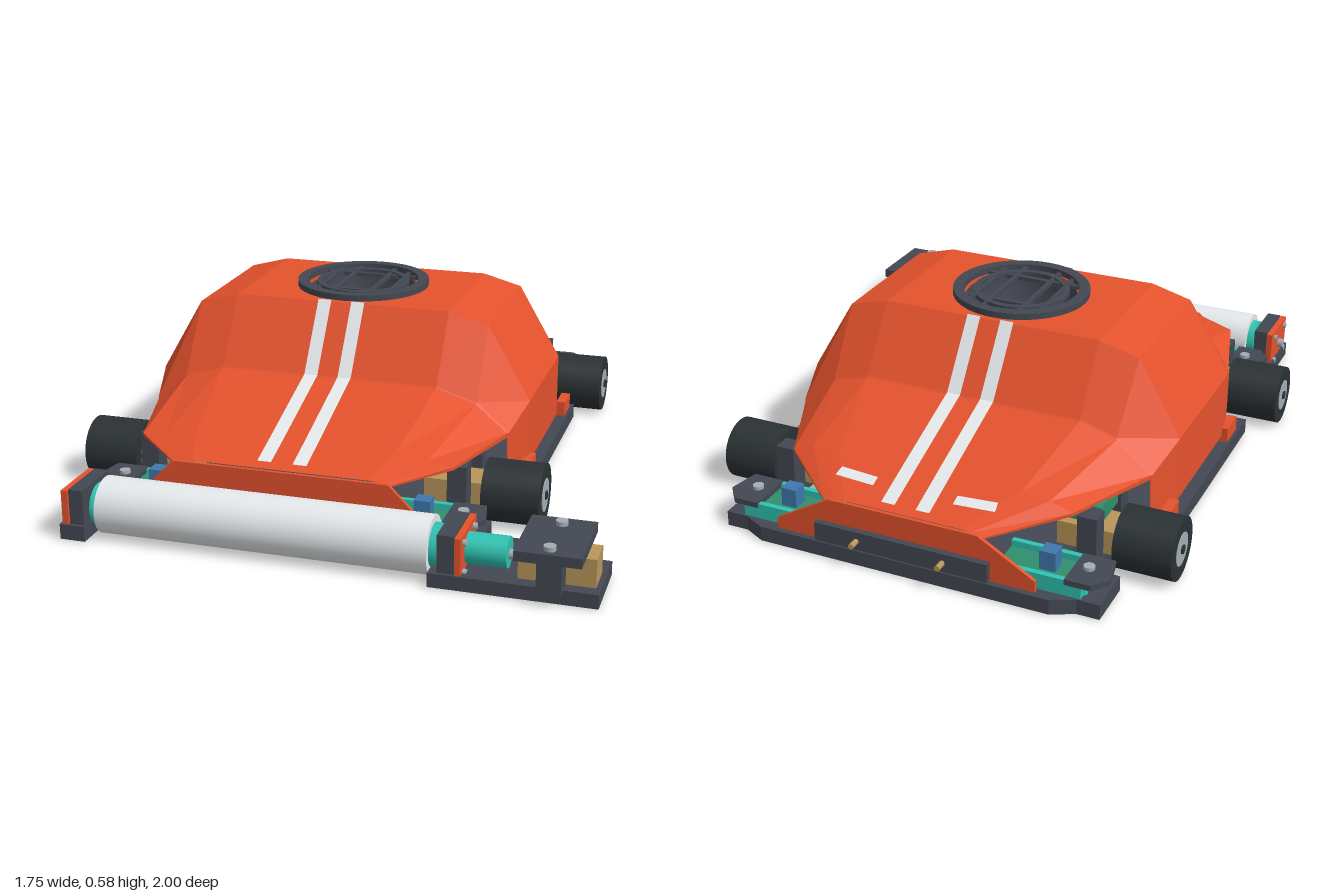
import * as THREE from 'three';

const ORANGE = 0xe5522d, DARK = 0x434852, TYRE = 0x2b3134, TEAL = 0x2fc4b2, GREEN = 0x2f8f6c;
const TAN = 0xb8965a, WHITE = 0xe6eaec, GREY = 0xa4adb4, BLUE = 0x3f78ad;

const mats = {};
function mat(color, open = false) {
  const key = color + (open ? 'open' : '');
  return mats[key] ??= new THREE.MeshStandardMaterial({
    color, flatShading: open, side: open ? THREE.DoubleSide : THREE.FrontSide });
}
function add(parent, name, geo, color, open) {
  const m = new THREE.Mesh(geo, mat(color, open));
  m.name = name;
  parent.add(m);
  return m;
}
// Box given by its limits on each axis
function box(parent, name, x0, x1, y0, y1, z0, z1, color) {
  const g = new THREE.BoxGeometry(Math.abs(x1 - x0), y1 - y0, z1 - z0);
  g.translate((x0 + x1) / 2, (y0 + y1) / 2, (z0 + z1) / 2);
  return add(parent, name, g, color);
}
// Cylinder along x or y
function rod(parent, name, r, len, x, y, z, color, axis = 'x', n = 32) {
  const g = new THREE.CylinderGeometry(r, r, len, n);
  if (axis === 'x') g.rotateZ(Math.PI / 2);
  if (axis === 'z') g.rotateX(Math.PI / 2);
  g.translate(x, y, z);
  return add(parent, name, g, color);
}
function circleHole(x, y, r) {
  return new THREE.Path().absarc(x, y, r, 0, Math.PI * 2, true);
}
// Flat plate from an (x, z) outline, between y0 and y0 + h
function plate(shape, y0, h) {
  const g = new THREE.ExtrudeGeometry(shape, { depth: h, bevelEnabled: false, curveSegments: 32 });
  return g.rotateX(Math.PI / 2).translate(0, y0 + h, 0);
}
function mirrored(half) {
  const left = half.map(([x, y]) => [-x, y]).reverse();
  return new THREE.Shape([...half, ...left].map(([x, y]) => new THREE.Vector2(x, y)));
}
// Triangles from a list of four-cornered faces
function quads(list) {
  const pos = [];
  for (const [a, b, c, d] of list) pos.push(...a, ...b, ...c, ...a, ...c, ...d);
  const g = new THREE.BufferGeometry();
  g.setAttribute('position', new THREE.Float32BufferAttribute(pos, 3));
  g.computeVertexNormals();
  return g;
}

const FAN_Z = -0.09;

function buildShell(body) {
  // Half cross-sections: ridge, shoulder, eave, lower edge
  const sections = [
    [0.755, [0.28, 0.21], [0.31, 0.206], [0.34, 0.2], [0.34, 0.195]],
    [0.62, [0.32, 0.25], [0.42, 0.237], [0.5, 0.225], [0.5, 0.215]],
    [0.30, [0.36, 0.35], [0.49, 0.31], [0.59, 0.225], [0.59, 0.21]],
    [0.295, [0.36, 0.355], [0.49, 0.315], [0.595, 0.225], [0.595, 0.07]],
    [0.15, [0.36, 0.56], [0.49, 0.525], [0.63, 0.285], [0.63, 0.07]],
    [-0.33, [0.36, 0.56], [0.49, 0.525], [0.63, 0.285], [0.63, 0.07]],
    [-0.475, [0.36, 0.36], [0.48, 0.325], [0.595, 0.225], [0.595, 0.07]],
    [-0.48, [0.36, 0.355], [0.48, 0.32], [0.59, 0.225], [0.59, 0.21]],
    [-0.77, [0.3, 0.255], [0.39, 0.245], [0.46, 0.222], [0.46, 0.212]],
    [-0.94, [0.19, 0.195], [0.22, 0.192], [0.26, 0.185], [0.26, 0.18]],
  ];
  const faces = [];
  for (let i = 0; i < sections.length - 1; i++) {
    const [za, ...a] = sections[i], [zb, ...b] = sections[i + 1];
    if (i !== 4) faces.push([[-a[0][0], a[0][1], za], [a[0][0], a[0][1], za], [b[0][0], b[0][1], zb], [-b[0][0], b[0][1], zb]]);
    for (let k = 0; k < 3; k++) {
      const q = [[...a[k], za], [...a[k + 1], za], [...b[k + 1], zb], [...b[k], zb]];
      faces.push(q, q.map(([x, y, z]) => [-x, y, z]).reverse());
    }
  }
  add(body, 'shell', quads(faces), ORANGE, true);
  // Roof panel with the fan opening
  const roof = mirrored([[0.36, -0.33], [0.36, 0.15]]);
  roof.holes.push(circleHole(0, FAN_Z, 0.18));
  add(body, 'roof', plate(roof, 0.55, 0.01), ORANGE);
  // End skirts
  const skirt = (name, top, bottom, y, z) => {
    const g = new THREE.ExtrudeGeometry(mirrored([[bottom, 0.05], [bottom, 0.085], [top, y]]), { depth: 0.012, bevelEnabled: false });
    add(body, name, g.translate(0, 0, z), ORANGE);
  };
  skirt('frontSkirt', 0.34, 0.46, 0.205, 0.75);
  skirt('backSkirt', 0.24, 0.42, 0.19, -0.947);
  // Wrapped stripes over both slopes
  const paths = [[[0.73, 0.219], [0.62, 0.252], [0.30, 0.352], [0.15, 0.562]],
    [[-0.33, 0.562], [-0.48, 0.358], [-0.77, 0.258], [-0.92, 0.205]]];
  for (const path of paths) for (const x of [-0.056, 0.056]) {
    const f = path.slice(1).map(([z, y], i) => {
      const [z0, y0] = path[i], w = 0.022, up = 0.004;
      return [[x - w, y0 + up, z0], [x + w, y0 + up, z0], [x + w, y + up, z], [x - w, y + up, z]];
    });
    add(body, 'stripe', quads(f), WHITE, true);
  }
  for (const s of [-1, 1]) {
    const y = (z) => 0.262 + (z + 0.77) * 0.353;
    const corners = [[0.13, -0.872], [0.26, -0.865], [0.255, -0.832], [0.13, -0.84]];
    add(body, 'rearMark', quads([corners.map(([x, z]) => [s * x, y(z), z])]), WHITE, true);
    for (const z of [0.175, -0.425]) box(body, 'shellTab', s * 0.62, s * 0.65, 0.05, 0.1, z - 0.05, z + 0.05, ORANGE);
    box(body, 'sill', s * 0.58, s * 0.62, 0.05, 0.07, -0.45, 0.27, TEAL);
  }
}

function buildFan(body) {
  const fan = new THREE.Group();
  fan.name = 'fan';
  fan.position.z = FAN_Z;
  body.add(fan);
  const ring = (name, ro, ri, y, h, color) => {
    const s = new THREE.Shape().absarc(0, 0, ro, 0, Math.PI * 2);
    s.holes.push(circleHole(0, 0, ri));
    add(fan, name, plate(s, y, h), color);
  };
  ring('grilleRim', 0.22, 0.185, 0.555, 0.025, DARK);
  ring('grilleRing', 0.155, 0.135, 0.56, 0.014, DARK);
  for (const x of [-0.12, -0.06, 0.06, 0.12]) {
    const h = Math.sqrt(0.19 ** 2 - x * x);
    box(fan, 'grilleBar', x - 0.007, x + 0.007, 0.56, 0.572, -h, h, DARK);
  }
  for (const z of [-0.1, 0.1]) box(fan, 'grilleCross', -0.16, 0.16, 0.558, 0.57, z - 0.008, z + 0.008, DARK);
  const lathe = (name, pts, color) => {
    const m = add(fan, name, new THREE.LatheGeometry(pts.map(p => new THREE.Vector2(...p)), 48), color, true);
    m.material = mat(color, true).clone();
    m.material.flatShading = false;
  };
  lathe('duct', [[0.12, 0.15], [0.12, 0.3], [0.185, 0.42], [0.185, 0.56]], DARK);
  lathe('intakeBell', [[0.18, 0], [0.175, 0.03], [0.15, 0.08], [0.125, 0.12], [0.12, 0.16]], TEAL);
  rod(fan, 'motor', 0.055, 0.16, 0, 0.28, 0, GREY, 'y');
  box(fan, 'motorPlate', -0.05, 0.05, 0.36, 0.38, -0.07, 0.07, GREY);
  for (let i = 0; i < 9; i++) {
    const g = new THREE.BoxGeometry(0.075, 0.05, 0.006).rotateX(0.5).translate(0.085, 0.24, 0).rotateY(i * Math.PI * 2 / 9);
    add(fan, 'fanBlade', g, DARK);
  }
}

function buildChassis(body) {
  const floor = mirrored([[0.47, -0.965], [0.54, -0.93], [0.61, -0.93], [0.61, -0.77], [0.53, -0.76], [0.53, -0.505], [0.66, -0.505],
    [0.66, 0.31], [0.53, 0.31], [0.53, 0.58], [0.61, 0.58], [0.61, 0.77]]);
  floor.holes.push(circleHole(0, FAN_Z, 0.18));
  for (const s of [-1, 1]) for (const z of [0.45, -0.63]) {
    floor.holes.push(new THREE.Path([[0.43, -0.08], [0.43, 0.08], [0.5, 0.08], [0.5, -0.08]].map(([x, dz]) => new THREE.Vector2(s * x, z + dz))));
  }
  add(body, 'floor', plate(floor, 0.002, 0.048), DARK);

  for (const s of [-1, 1]) {
    for (const z of [0.45, -0.63]) {
      // Wheel, hub and drive motor
      rod(body, 'wheel', 0.097, 0.18, s * 0.655, 0.097, z, TYRE, 'x', 40);
      rod(body, 'hub', 0.052, 0.184, s * 0.655, 0.097, z, GREY);
      rod(body, 'axle', 0.014, 0.194, s * 0.655, 0.097, z, TYRE);
      box(body, 'driveMotor', s * 0.38, s * 0.57, 0.06, 0.135, z - 0.06, z + 0.06, TAN);
      for (const d of [-1, 1]) box(body, 'motorMount', s * 0.47, s * 0.53, 0.05, 0.21, z + d * 0.1 - 0.03, z + d * 0.1 + 0.03, DARK);
    }
    // Corner electronics and bumpers
    for (const z of [0.67, -0.85]) {
      box(body, 'cornerBoard', s * 0.28, s * 0.52, 0.07, 0.08, z - 0.06, z + 0.06, GREEN);
      for (const d of [-1, 1]) {
        box(body, 'boardRail', s * 0.28, s * 0.55, 0.05, 0.1, z + d * 0.066 - 0.009, z + d * 0.066 + 0.009, TEAL);
        rod(body, 'standoff', 0.018, 0.06, s * 0.54, 0.075, z + d * 0.04, TEAL, 'y', 16);
      }
      box(body, 'connector', s * 0.40, s * 0.45, 0.08, 0.14, z - 0.02, z + 0.03, BLUE);
      const e = Math.sign(z), bumper = new THREE.Shape([[0.5, -0.07], [0.6, -0.07], [0.62, 0.03], [0.58, 0.08], [0.5, 0.08]]
        .map(([x, d]) => new THREE.Vector2(s * x, z - (e > 0 ? d : -d) * -1)));
      add(body, 'cornerBumper', plate(bumper, 0.088, 0.018), DARK);
      rod(body, 'bolt', 0.017, 0.014, s * 0.545, 0.11, z, GREY, 'y', 16);
    }
    rod(body, 'rearTerminal', 0.009, 0.06, s * 0.14, 0.085, -0.97, TAN, 'z', 12);
  }
  box(body, 'controlBoard', -0.52, -0.38, 0.16, 0.215, -0.7, -0.48, GREEN);
  box(body, 'rearBar', -0.28, 0.28, 0.055, 0.115, -0.967, -0.947, DARK);
}

function buildRoller(model) {
  const g = new THREE.Group();
  g.name = 'rollerAssembly';
  model.add(g);
  const z = 0.875, y = 0.09;
  rod(g, 'roller', 0.087, 1.02, -0.13, y, z, WHITE, 'x', 48);
  rod(g, 'rollerCaps', 0.065, 1.07, -0.13, y, z, TEAL);
  rod(g, 'rollerShaft', 0.015, 1.38, -0.07, y, z, GREY, 'x', 16);
  // Side arms and bearing plates
  box(g, 'rightArm', -0.75, -0.67, 0.002, 0.05, 0.66, 0.97, DARK);
  box(g, 'rightBracket', -0.72, -0.675, 0.05, 0.16, 0.785, 0.96, DARK);
  box(g, 'rightPlate', -0.742, -0.722, 0.015, 0.157, 0.78, 0.965, ORANGE);
  box(g, 'leftArm', 0.385, 0.62, 0.002, 0.045, 0.67, 0.97, DARK);
  box(g, 'leftBracket', 0.41, 0.46, 0.04, 0.16, 0.785, 0.96, DARK);
  box(g, 'leftPlate', 0.462, 0.48, 0.015, 0.157, 0.78, 0.965, ORANGE);
  for (const dz of [-0.06, 0.06]) for (const dy of [-0.045, 0.045]) {
    for (const x of [-0.745, 0.485]) rod(g, 'plateBolt', 0.01, 0.012, x, y + dy, z + dz, GREY, 'x', 12);
  }
  // Coupling and motor on its platform
  rod(g, 'coupling', 0.046, 0.12, 0.54, 0.095, z, TEAL);
  box(g, 'motorPlatform', 0.62, 0.87, 0.002, 0.045, 0.745, 0.97, DARK);
  box(g, 'gearMotor', 0.635, 0.855, 0.045, 0.13, 0.83, 0.93, TAN);
  box(g, 'motorClamp', 0.635, 0.825, 0.13, 0.16, 0.745, 1.0, DARK);
  for (const cz of [0.79, 0.965]) {
    box(g, 'clampPost', 0.7, 0.77, 0.04, 0.13, cz - 0.035, cz + 0.035, DARK);
    rod(g, 'clampBolt', 0.018, 0.014, 0.73, 0.166, cz, GREY, 'y', 16);
  }
}

export function createModel() {
  const model = new THREE.Group();
  model.name = 'lowRobot';
  const body = new THREE.Group();
  body.name = 'body';
  body.position.x = -0.13;
  model.add(body);
  buildShell(body);
  buildFan(body);
  buildChassis(body);
  buildRoller(model);
  return model;
}
